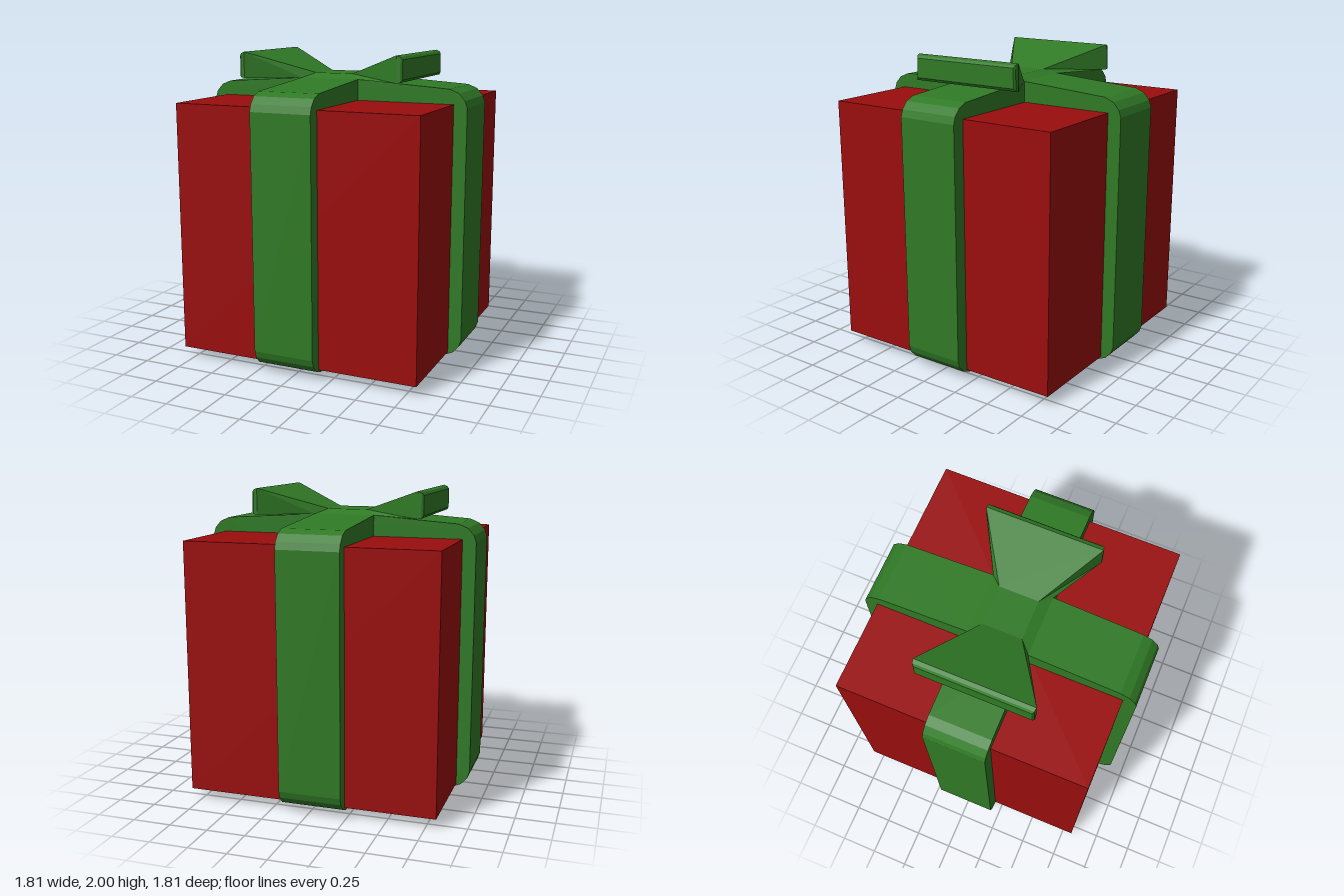
import * as THREE from 'three';

const red = new THREE.MeshStandardMaterial({ color: 0x9a0d0d });
red.name = 'box red';
const green = new THREE.MeshStandardMaterial({ color: 0x307a26 });
green.name = 'ribbon green';

// Rounded band outline, extruded to the ribbon width; lo and hi bound the flat middle
function ribbonGeometry(lo, hi, from, to) {
  const corner = [[0.79, 1.79], [0.85, 1.765], [0.89, 1.72], [0.905, 1.675]];
  const bottom = corner.map(([x, y]) => [x, 1.83 - y]).reverse();
  const side = [...corner, ...bottom];
  const pts = [[hi, 1.83], ...side, [hi, 0], [lo, 0],
    ...side.map(([x, y]) => [-x, y]).reverse(), [lo, 1.83]];
  const shape = new THREE.Shape(pts.map(([x, y]) => new THREE.Vector2(x, y)));
  const g = new THREE.ExtrudeGeometry(shape, { depth: to - from, bevelEnabled: false });
  return g.translate(0, 0, from);
}

// Faceted loft through four-cornered sections: [xBottom, yBottom, zBottom, xTop, yTop, zTop]
function loft(sections) {
  const rings = sections.map(([xb, yb, zb, xt, yt, zt]) =>
    [[xb, yb, zb], [xb, yb, -zb], [xt, yt, -zt], [xt, yt, zt]]);
  const pos = [];
  const quad = (a, b, c, d) => pos.push(...a, ...b, ...c, ...a, ...c, ...d);
  for (let i = 0; i < rings.length - 1; i++) {
    for (let k = 0; k < 4; k++) {
      const n = (k + 1) % 4;
      quad(rings[i][k], rings[i][n], rings[i + 1][n], rings[i + 1][k]);
    }
  }
  const first = rings[0], last = rings[rings.length - 1];
  quad(first[3], first[2], first[1], first[0]);
  quad(last[0], last[1], last[2], last[3]);
  const g = new THREE.BufferGeometry();
  g.setAttribute('position', new THREE.Float32BufferAttribute(pos, 3));
  g.computeVertexNormals();
  return g;
}

export function createModel() {
  const model = new THREE.Group();
  model.name = 'giftBox';
  const add = (name, geometry, material) => {
    const mesh = new THREE.Mesh(geometry, material);
    mesh.name = name;
    model.add(mesh);
    return mesh;
  };

  // Box
  add('box', new THREE.BoxGeometry(1.635, 1.63, 1.635), red).position.y = 0.88;

  // Two crossing ribbons
  add('sideRibbon', ribbonGeometry(-0.235, 0.17, -0.205, 0.2), green);
  const front = ribbonGeometry(-0.2, 0.205, -0.235, 0.17).rotateY(Math.PI / 2);
  add('frontRibbon', front, green);

  // Bow: narrow knot flaring into two loops with chamfered ends
  const cx = -0.0325;
  const half = [
    [0.2025, 1.829, 0.2, 0.1325, 1.86, 0.13],
    [0.535, 1.829, 0.385, 0.535, 2.0, 0.385],
    [0.56, 1.833, 0.385, 0.56, 1.99, 0.38],
    [0.572, 1.85, 0.375, 0.572, 1.975, 0.37],
  ];
  const place = (s, m) => [cx + m * s[0], s[1], s[2], cx + m * s[3], s[4], s[5]];
  add('bow', loft([
    ...half.map((s) => place(s, -1)).reverse(),
    ...half.map((s) => place(s, 1)),
  ]), green);

  return model;
}
